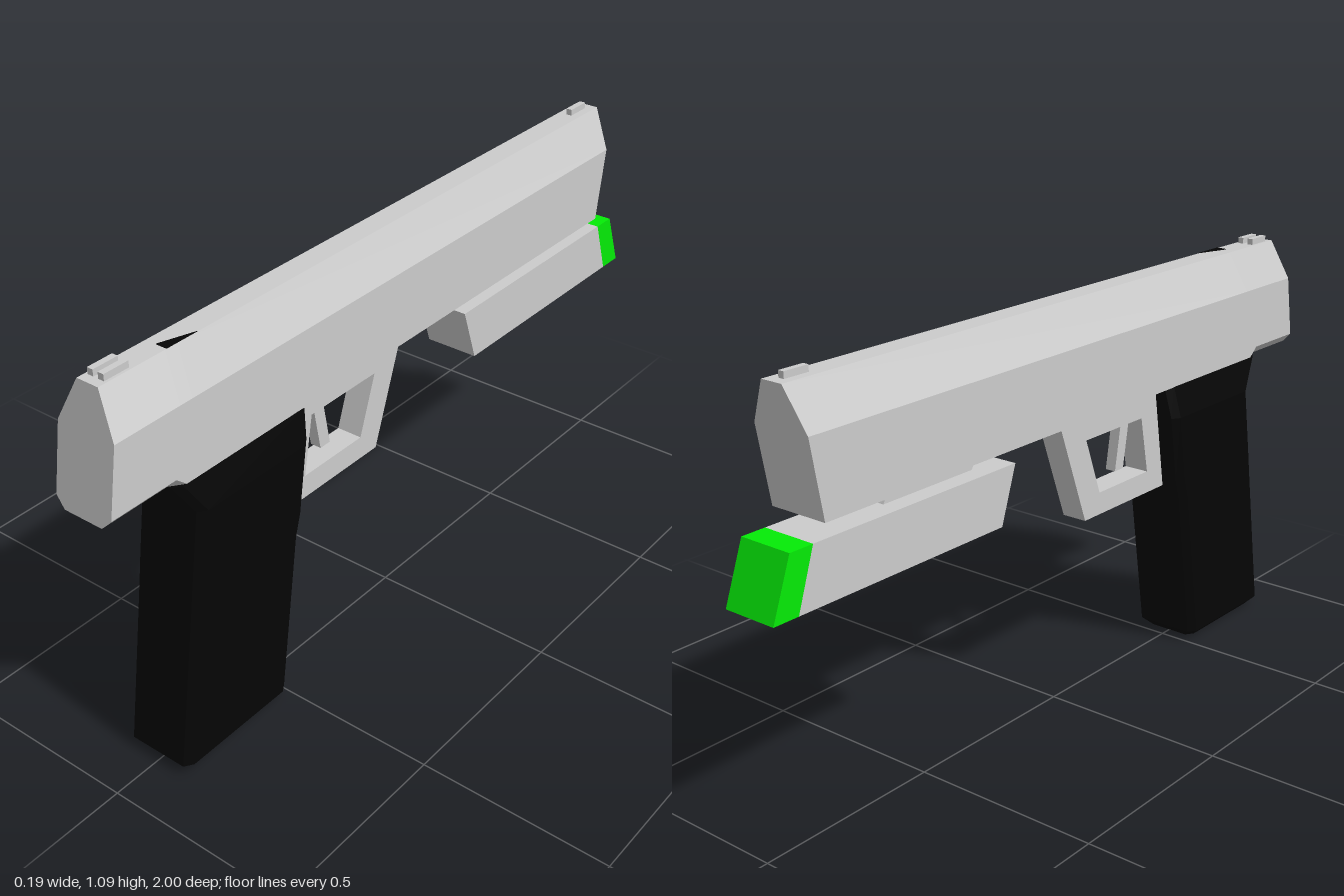
import * as THREE from 'three';

const material = (color) => new THREE.MeshStandardMaterial({ color, flatShading: true });

// Skin a series of equal-length rings, with flat caps on both ends
function loft(rings) {
  const n = rings[0].length;
  const index = [];
  for (let r = 0; r < rings.length - 1; r++) {
    for (let i = 0; i < n; i++) {
      const a = r * n + i, b = r * n + (i + 1) % n;
      index.push(a, b, b + n, a, b + n, a + n);
    }
  }
  const last = (rings.length - 1) * n;
  for (let i = 1; i < n - 1; i++) {
    index.push(0, i + 1, i, last, last + i, last + i + 1);
  }
  const geometry = new THREE.BufferGeometry();
  geometry.setAttribute('position', new THREE.Float32BufferAttribute(rings.flat(2), 3));
  geometry.setIndex(index);
  const flat = geometry.toNonIndexed();
  flat.computeVertexNormals();
  return flat;
}

// Side outline given as [z, y] points, extruded evenly across x
function plate(outline, width, hole) {
  const points = (list) => list.map(([z, y]) => new THREE.Vector2(z, y));
  const shape = new THREE.Shape(points(outline));
  if (hole) shape.holes.push(new THREE.Path(points(hole)));
  const geometry = new THREE.ExtrudeGeometry(shape, { depth: width, bevelEnabled: false });
  return geometry.translate(0, 0, -width / 2).rotateY(-Math.PI / 2);
}

// Slide ring: sheared in z, c is the size of the bottom corner cut
function slideRing(z, c) {
  const half = [[0.08 - c, 0.771], [0.08, 0.771 + c], [0.08, 0.965], [0.03, 1.07]];
  const ring = [...half, ...half.map(([x, y]) => [-x, y]).reverse()];
  return ring.map(([x, y]) => [x, y, z - (y - 0.771) * 0.17]);
}

// Grip ring: rectangle with cut corners, counter-clockwise seen from above
function gripRing([y, w, front, back]) {
  const cx = 0.015, cz = 0.022;
  return [
    [w - cx, y, front], [-w + cx, y, front], [-w, y, front + cz], [-w, y, back - cz],
    [-w + cx, y, back], [w - cx, y, back], [w, y, back - cz], [w, y, front + cz],
  ];
}

export function createModel() {
  const group = new THREE.Group();
  const grey = material(0xcccccc);
  const black = material(0x050505);
  const green = material(0x04ec06);
  const add = (name, geometry, mat = grey) => {
    const mesh = new THREE.Mesh(geometry, mat);
    mesh.name = name;
    group.add(mesh);
    return mesh;
  };

  // Slide with cut lower corners at the rear
  add('slide', loft([[-0.85, 0], [0.78, 0], [0.815, 0.026], [1, 0.026]]
    .map(([z, c]) => slideRing(z, c))));

  // Grip: height, half width, front z, back z
  add('grip', loft([
    [0, 0.07, 0.535, 0.845],
    [0.025, 0.095, 0.51, 0.865],
    [0.436, 0.095, 0.446, 0.8],
    [0.496, 0.095, 0.428, 0.791],
    [0.686, 0.095, 0.398, 0.761],
    [0.772, 0.08, 0.385, 0.815],
  ].map(gripRing)), black);

  // Dark wedge showing on the top of the slide
  add('topWedge', loft([1.066, 1.0715].map((y) =>
    [[0.03, y, 0.67], [0, y, 0.76], [0.03, y, 0.76]])), black);

  // Sights
  const sight = (name, x, z) =>
    add(name, new THREE.BoxGeometry(0.016, 0.022, 0.068)).position.set(x, 1.075, z);
  sight('frontSight', 0, -0.84);
  for (const side of [-1, 1]) sight('rearSight', side * 0.015, 0.892);

  // Trigger guard and the trigger
  add('triggerGuard', plate(
    [[0.385, 0.766], [-0.02, 0.766], [0.085, 0.481], [0.43, 0.481]], 0.07,
    [[0.325, 0.697], [0.088, 0.697], [0.145, 0.541], [0.355, 0.541]]));
  add('trigger', plate(
    [[0.297, 0.705], [0.262, 0.705], [0.238, 0.569], [0.273, 0.569]], 0.03));

  // Bevelled base joining the guard to the slide
  add('guardBase', loft([[0.758, 0.035, -0.02], [0.772, 0.07, -0.08]].map(([y, w, front]) =>
    [[w, y, front], [-w, y, front], [-w, y, 0.42], [w, y, 0.42]])));

  // Light under the barrel, with a coloured front
  add('lightMount', plate(
    [[-0.31, 0.772], [-0.34, 0.726], [-0.63, 0.726], [-0.605, 0.772]], 0.05));
  add('lightBody', plate(
    [[-0.235, 0.733], [-0.285, 0.587], [-0.93, 0.587], [-0.88, 0.733]], 0.146));
  add('lightFront', plate(
    [[-0.88, 0.733], [-0.93, 0.587], [-1, 0.587], [-0.945, 0.733]], 0.146), green);

  return group;
}
